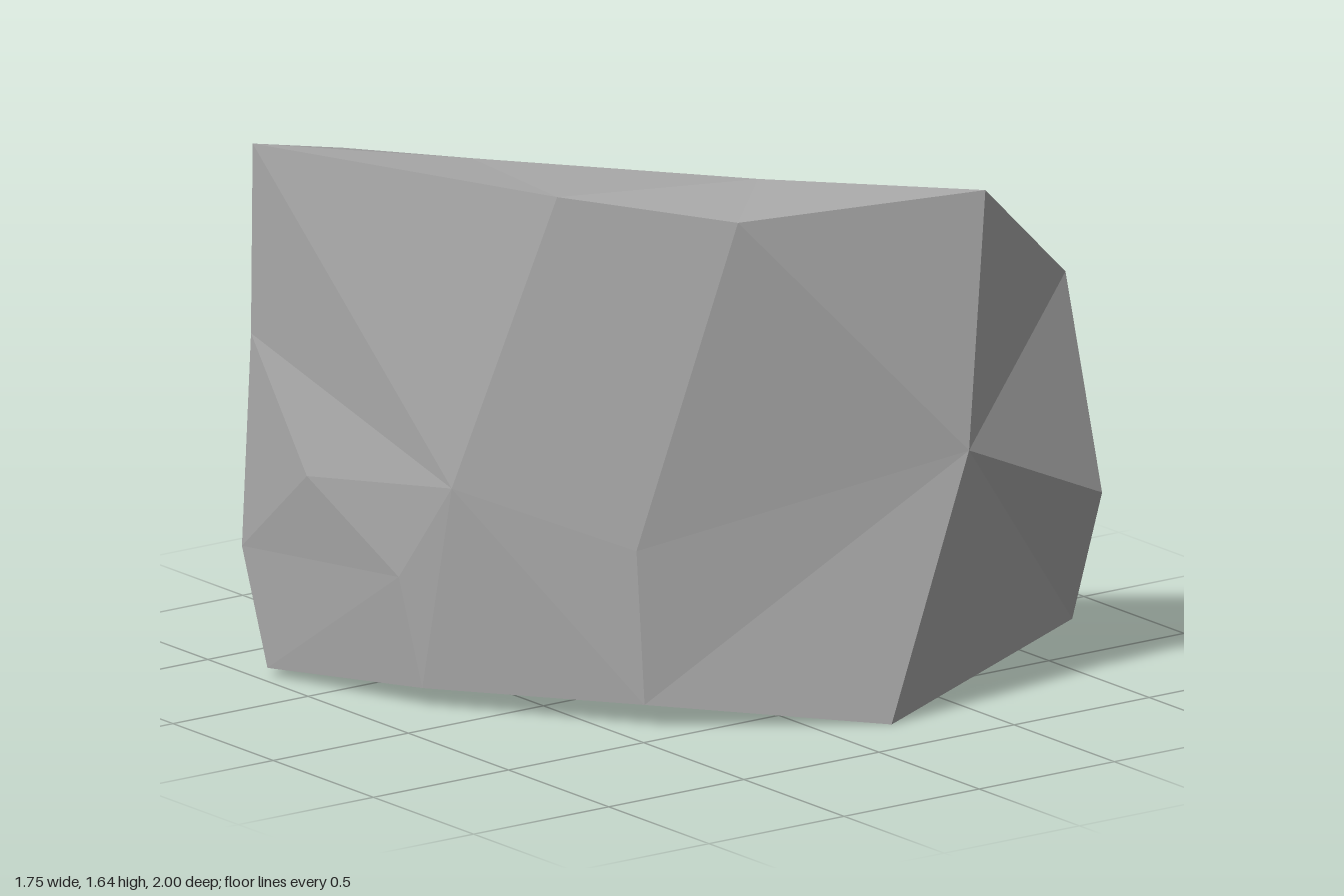
import * as THREE from 'three';

// Corner points of the curved stone slab, one letter each
const corners = {
  // outer face: top edge
  A: [-0.79, 1.64, 0.99], B: [0.19, 1.63, 0.59], C: [0.58, 1.575, 0.21], D: [0.83, 1.61, -0.52],
  // outer face: right edge and bottom edge
  E: [0.87, 0.83, -0.43], F: [0.78, 0, -0.21], G: [0.37, 0.07, 0.4], H: [-0.2, 0.06, 0.8], I: [-0.75, 0.025, 0.965],
  // outer face: left edge and inner corners
  J: [-0.83, 0.39, 1], K: [-0.805, 1.05, 0.985], L: [-0.56, 0.66, 0.96], M: [-0.25, 0.4, 0.85], N: [-0.08, 0.7, 0.78], O: [0.37, 0.55, 0.43],
  // far end
  Q: [0.65, 1.245, -0.95], R: [0.765, 0.58, -1], S: [0.67, 0.175, -0.96],
  // hollow back face
  P: [-0.875, 1.54, 0.59], U: [-0.36, 1.61, 0.5], T: [0.33, 1.61, -0.05],
  V: [-0.18, 0.55, 0.4], W: [0.32, 0.34, 0], X: [-0.81, 0.48, 0.6], Y: [-0.63, 0.8, 0.59],
  1: [0.28, 0.01, -0.01], 2: [-0.65, 0.045, 0.57],
};

// Each fan is a hub corner followed by the ring of corners around it
const sides = {
  outerFace: ['NBAKLMHGOB', 'JIMLK', 'MIH', 'OCB', 'EDCOGF'],
  rightEnd: ['EFSRQD'],
  topFace: ['UPABT', 'TBCDQ'],
  backFace: ['VTW12XYUT', 'WTQRS1', 'XPUY'],
  leftEnd: ['X2IJKP', 'PKA'],
  underside: ['1SFGH2', '2HI'],
};

function facets(fans) {
  const positions = [];
  for (const [hub, ...ring] of fans) {
    for (let i = 0; i + 1 < ring.length; i++) {
      positions.push(...corners[hub], ...corners[ring[i]], ...corners[ring[i + 1]]);
    }
  }
  const geometry = new THREE.BufferGeometry();
  geometry.setAttribute('position', new THREE.Float32BufferAttribute(positions, 3));
  geometry.computeVertexNormals(); // unshared corners give flat facets
  return geometry;
}

export function createModel() {
  const stone = new THREE.MeshStandardMaterial({ color: 0xaaaaaa });
  stone.name = 'grey stone';
  const slab = new THREE.Group();
  slab.name = 'curvedStoneSlab';
  for (const [name, fans] of Object.entries(sides)) {
    const mesh = new THREE.Mesh(facets(fans), stone);
    mesh.name = name;
    slab.add(mesh);
  }
  return slab;
}
